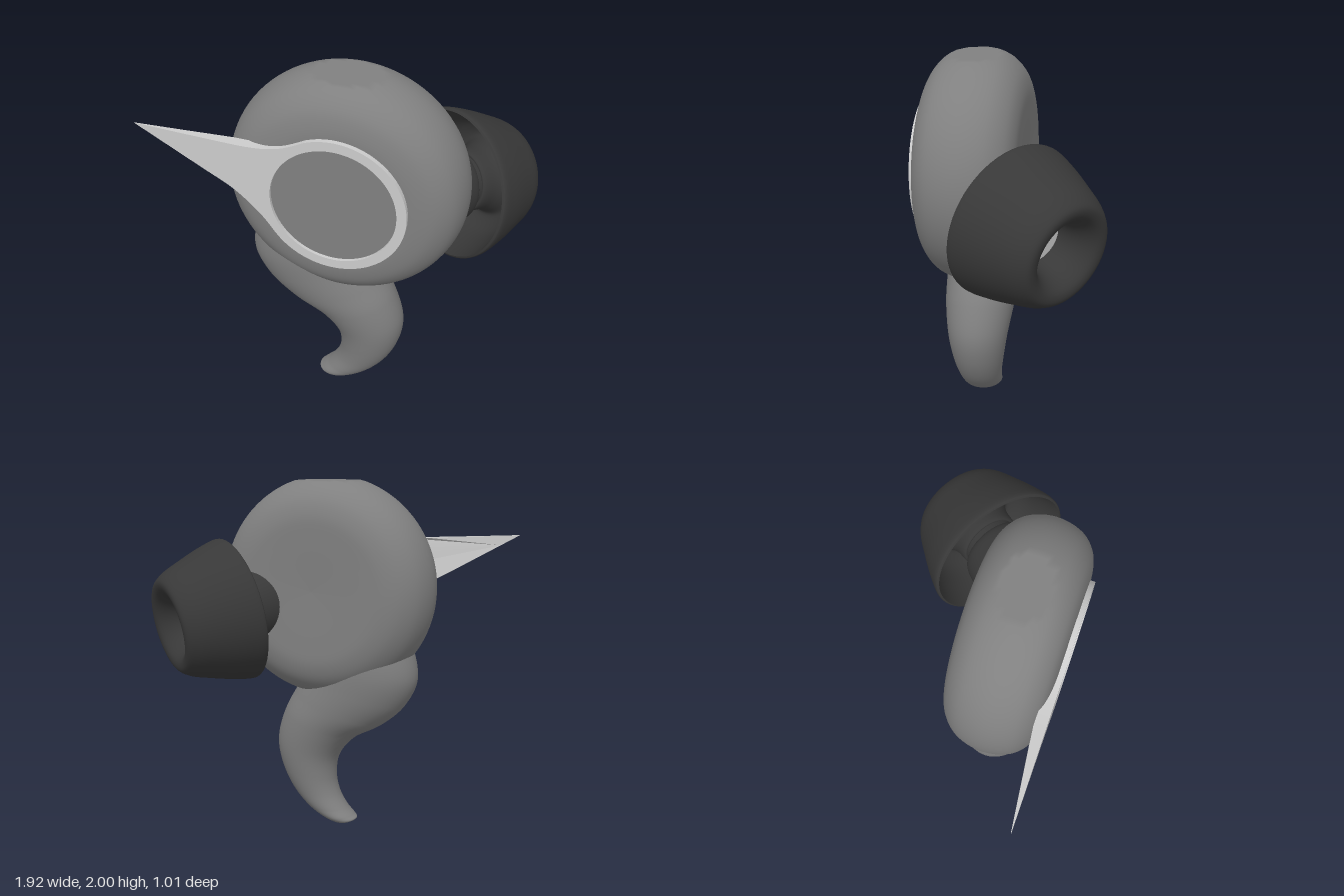
import * as THREE from 'three';
import { ParametricGeometry } from 'three/addons/geometries/ParametricGeometry.js';

const mat = (color, side = THREE.FrontSide) => new THREE.MeshStandardMaterial({ color, side });
const grey = mat(0x808080);
const light = mat(0xcccccc);
const dark = mat(0x383838, THREE.DoubleSide);
const CX = 0.06, CY = 1.41; // centre of the round housing

function add(parent, name, geometry, material) {
  const mesh = new THREE.Mesh(geometry, material);
  mesh.name = name;
  parent.add(mesh);
  return mesh;
}

// Smooth lathe through a few [radius, height] points
function lathe(points, steps, segments) {
  const curve = new THREE.CatmullRomCurve3(
    points.map(([r, h]) => new THREE.Vector3(r, h, 0)), false, 'centripetal');
  return new THREE.LatheGeometry(
    curve.getPoints(steps).map(p => new THREE.Vector2(Math.max(0, p.x), p.y)), segments);
}

// Round puck, flattened at the very top
function housingGeometry() {
  const g = lathe([[0, -0.04], [0.3, -0.05], [0.42, -0.045], [0.51, -0.01], [0.585, 0.07], [0.62, 0.21],
    [0.585, 0.355], [0.51, 0.43], [0.42, 0.46], [0.3, 0.465], [0, 0.455]], 60, 96);
  g.rotateX(Math.PI / 2).translate(CX, CY, 0);
  const p = g.attributes.position, n = g.attributes.normal;
  for (let i = 0; i < p.count; i++) {
    if (p.getY(i) > 2) {
      p.setY(i, 2);
      n.setXYZ(i, 0, 1, 0);
    }
  }
  return g;
}

// Curved fin: oval sections between a left and a right outline
function finGeometry() {
  // left x, left y, right x, right y, half depth
  const rows = [
    [-0.40, 1.16, 0.05, 1.28, 0.19],
    [-0.45, 1.05, 0.10, 1.15, 0.21],
    [-0.47, 0.90, 0.13, 1.02, 0.22],
    [-0.40, 0.75, 0.18, 0.92, 0.215],
    [-0.27, 0.63, 0.25, 0.81, 0.205],
    [-0.10, 0.53, 0.32, 0.68, 0.19],
    [0.00, 0.40, 0.37, 0.50, 0.165],
    [0.015, 0.27, 0.35, 0.35, 0.143],
    [-0.01, 0.17, 0.28, 0.20, 0.122],
    [-0.06, 0.09, 0.18, 0.09, 0.108],
    [-0.10, 0.05, 0.07, 0.025, 0.095],
    [-0.12, 0.03, 0.00, 0.00, 0.07],
    [-0.07, 0.005, -0.06, 0.00, 0.005],
  ];
  const spline = f => new THREE.CatmullRomCurve3(rows.map(f));
  const left = spline(r => new THREE.Vector3(r[0], r[1], r[4]));
  const right = spline(r => new THREE.Vector3(r[2], r[3], r[4]));
  return new ParametricGeometry((u, v, out) => {
    const a = left.getPoint(u), b = right.getPoint(u), t = -v * Math.PI * 2;
    const k = (1 + Math.cos(t)) / 2;
    out.set(a.x + (b.x - a.x) * k, Math.max(0, a.y + (b.y - a.y) * k), 0.21 + a.z * Math.sin(t));
  }, 72, 40);
}

// Flat ring that runs out into a long pointed spike, thinning towards its point
function ringGeometry() {
  const v = (x, y) => new THREE.Vector2(x, y);
  const rad = Math.PI / 180;
  const s = new THREE.Shape();
  s.moveTo(-0.95, 1.71);
  s.splineThru([v(-0.6, 1.69), v(-0.35, 1.68), v(-0.2, 1.7), v(-0.067, 1.758)]);
  s.absarc(CX, CY, 0.37, 110 * rad, -145 * rad, true);
  s.splineThru([v(-0.32, 1.3), v(-0.45, 1.42), v(-0.62, 1.52), v(-0.95, 1.71)]);
  const hole = new THREE.Path();
  hole.absarc(CX, CY, 0.32, 0, Math.PI * 2, false);
  s.holes.push(hole);
  const g = new THREE.ExtrudeGeometry(s, { depth: 0.06, bevelEnabled: false, curveSegments: 40 });
  g.translate(0, 0, 0.43);
  const p = g.attributes.position;
  for (let i = 0; i < p.count; i++) {
    const t = THREE.MathUtils.clamp((-0.45 - p.getX(i)) / 0.5, 0, 1);
    if (p.getZ(i) < 0.46) p.setZ(i, 0.43 + 0.058 * t);
  }
  g.computeVertexNormals();
  return g;
}

export function createModel() {
  const model = new THREE.Group();
  model.name = 'earbud';

  add(model, 'housing', housingGeometry(), grey);
  add(model, 'fin', finGeometry(), grey);
  add(model, 'spikedRing', ringGeometry(), light);
  const disc = add(model, 'facePlate', new THREE.CylinderGeometry(0.325, 0.325, 0.03, 64), grey);
  disc.rotation.x = Math.PI / 2;
  disc.position.set(CX, CY, 0.458);

  // Nozzle and soft tip share one slanted axis; local y points into the ear
  const nozzle = new THREE.Group();
  nozzle.name = 'nozzle';
  nozzle.position.set(0.52, 1.29, -0.045);
  nozzle.quaternion.setFromUnitVectors(
    new THREE.Vector3(0, 1, 0), new THREE.Vector3(0.6, -0.17, -0.78).normalize());
  model.add(nozzle);

  add(nozzle, 'nozzleBase', lathe([[0.2, -0.32], [0.22, -0.16], [0.212, -0.05], [0.19, 0.04],
    [0.16, 0.06], [0, 0.06]], 30, 48), dark);
  add(nozzle, 'nozzleStem', new THREE.CylinderGeometry(0.15, 0.15, 0.2, 40), dark).position.y = 0.1;
  add(nozzle, 'soundOutlet', new THREE.CylinderGeometry(0.13, 0.13, 0.02, 40), light).position.y = 0.2;

  // Hollow skirt with a rounded lip and funnel-shaped mouth
  add(nozzle, 'softTip', lathe([[0.39, 0], [0.402, 0.01], [0.385, 0.1], [0.335, 0.25], [0.29, 0.36],
    [0.25, 0.405], [0.2, 0.4], [0.15, 0.34], [0.125, 0.26], [0.125, 0.12], [0.16, 0.1],
    [0.175, 0.2], [0.22, 0.28], [0.29, 0.24], [0.345, 0.12], [0.39, 0]], 90, 64), dark);

  return model;
}
